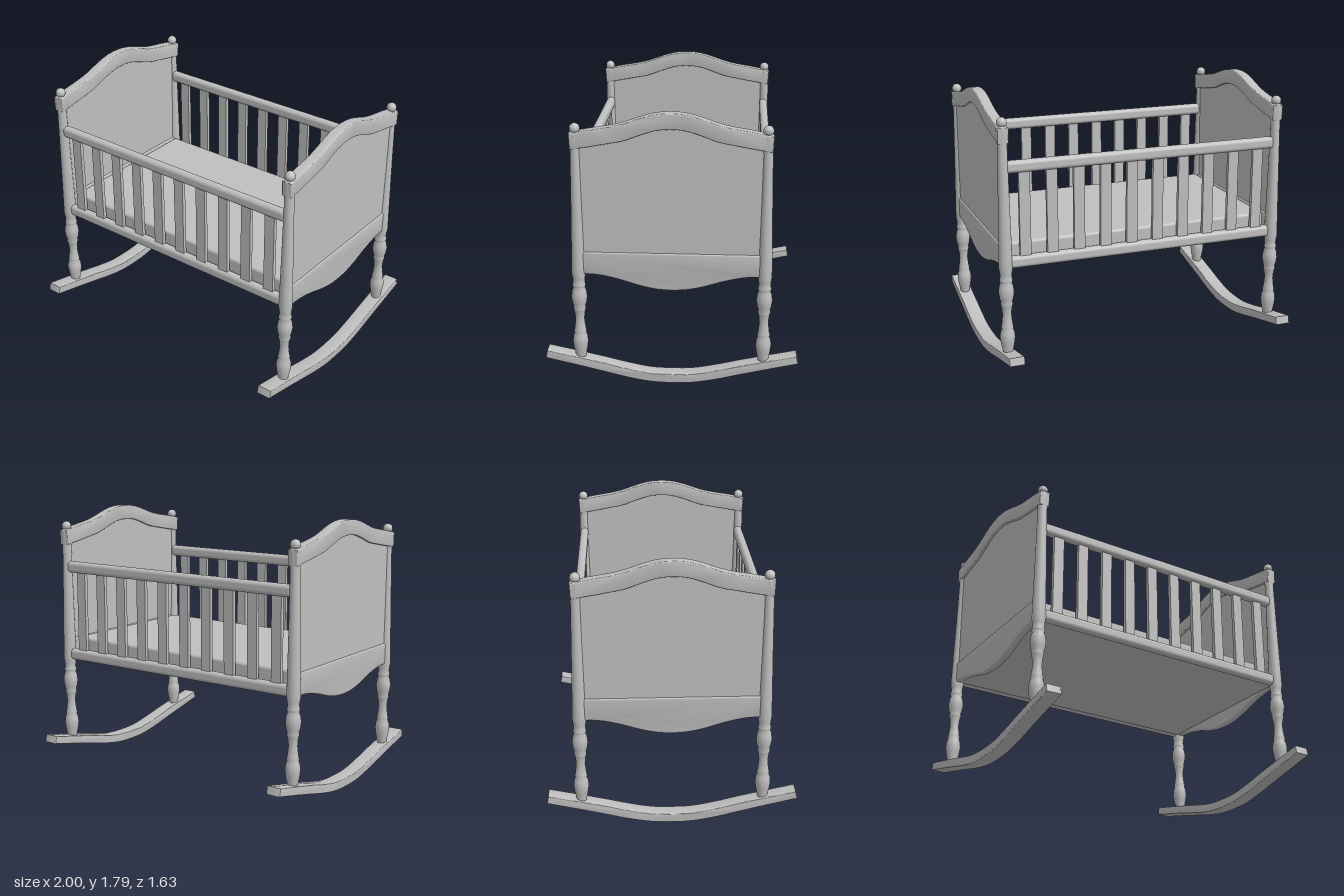
import * as THREE from 'three';
import { toCreasedNormals } from 'three/addons/utils/BufferGeometryUtils.js';
import { RoundedBoxGeometry } from 'three/addons/geometries/RoundedBoxGeometry.js';

const wood = new THREE.MeshStandardMaterial({ color: 0xbfbfbf });
wood.name = 'plain grey';

const V = (p) => new THREE.Vector2(p[0], p[1]);

// Smooth line through half-profile points [z, y] (z from 0 outwards), mirrored to both sides
function mirroredCurve(half) {
  const left = half.slice(1).reverse().map(([z, y]) => [-z, y]);
  return new THREE.SplineCurve([...left, ...half].map(V)).getPoints(40);
}

// Board lying in the z-y plane between two outlines, extruded along x and centred on it
function board(lower, upper, thickness, bevel = 0) {
  const shape = new THREE.Shape([...lower, ...upper.slice().reverse()]);
  const depth = thickness - 2 * bevel;
  const g = new THREE.ExtrudeGeometry(shape, {
    depth, bevelEnabled: bevel > 0, bevelThickness: bevel, bevelSize: bevel, bevelOffset: -bevel, bevelSegments: 3,
  });
  g.translate(0, 0, -depth / 2);
  g.rotateY(-Math.PI / 2);
  return toCreasedNormals(g, 0.6);
}

function add(parent, name, geometry, x = 0, y = 0, z = 0) {
  const mesh = new THREE.Mesh(geometry, wood);
  mesh.name = name;
  mesh.position.set(x, y, z);
  parent.add(mesh);
  return mesh;
}

// Turned post: [radius, height], vase shapes below, slim shaft, collar and neck above
function postGeometry() {
  const p = [
    [0, 0.13], [0.03, 0.13], [0.034, 0.17], [0.044, 0.22], [0.05, 0.265], [0.046, 0.3], [0.037, 0.325],
    [0.041, 0.335], [0.037, 0.35], [0.033, 0.38], [0.029, 0.42], [0.032, 0.46], [0.037, 0.485],
    [0.041, 0.495], [0.037, 0.51], [0.045, 0.535], [0.051, 0.575], [0.046, 0.615], [0.037, 0.64],
    [0.042, 0.65], [0.042, 0.66], [0.037, 0.68], [0.039, 0.7], [0.045, 0.74], [0.043, 0.83],
    [0.036, 1.2], [0.031, 1.54], [0.034, 1.56], [0.038, 1.65], [0.034, 1.66], [0.02, 1.665], [0, 1.67],
  ];
  return new THREE.LatheGeometry(p.map(V), 24);
}

export function createModel() {
  const cradle = new THREE.Group();
  cradle.name = 'cradle';

  const post = postGeometry();
  const finial = new THREE.SphereGeometry(0.033, 20, 14);

  // Curved runner with nearly straight ends
  const runnerLow = mirroredCurve([[0, 0], [0.14, 0.006], [0.3, 0.035], [0.45, 0.072], [0.64, 0.117], [0.815, 0.157]]);
  const runnerTop = mirroredCurve([[0, 0.06], [0.14, 0.066], [0.29, 0.094], [0.44, 0.13], [0.63, 0.172], [0.803, 0.209]]);
  const runner = board(runnerLow, runnerTop, 0.1, 0.004);

  // Arched cap of the end boards
  const capTop = mirroredCurve([[0, 1.79], [0.09, 1.783], [0.18, 1.76], [0.29, 1.722], [0.38, 1.7], [0.5, 1.68], [0.625, 1.655]]);
  const capLow = mirroredCurve([[0, 1.69], [0.09, 1.682], [0.18, 1.655], [0.29, 1.615], [0.38, 1.597], [0.5, 1.575], [0.62, 1.555]]);
  const cap = board(capLow, capTop, 0.07, 0.006);

  // Thin panel beneath the cap and the scalloped apron at its foot
  const panelTop = mirroredCurve([[0, 1.72], [0.18, 1.685], [0.29, 1.645], [0.5, 1.6], [0.57, 1.59]]);
  const panel = board([V([-0.57, 0.84]), V([0.57, 0.84])], panelTop, 0.03);
  const apronLow = mirroredCurve([[0, 0.635], [0.1, 0.642], [0.2, 0.663], [0.32, 0.7], [0.42, 0.724], [0.5, 0.735], [0.57, 0.735]]);
  const apron = board(apronLow, [V([-0.57, 0.885]), V([0.57, 0.885])], 0.05, 0.012);

  for (const side of [1, -1]) {
    const end = new THREE.Group();
    end.name = side > 0 ? 'leftEnd' : 'rightEnd';
    end.position.x = side * 0.95;
    add(end, 'rocker', runner);
    add(end, 'endCap', cap);
    add(end, 'endPanel', panel);
    add(end, 'endApron', apron);
    for (const z of [0.59, -0.59]) {
      add(end, 'post', post, 0, 0, z);
      add(end, 'finial', finial, 0, 1.684, z);
    }
    cradle.add(end);
  }

  // Slatted long sides
  const topRail = new RoundedBoxGeometry(1.88, 0.08, 0.06, 4, 0.027);
  const bottomRail = new RoundedBoxGeometry(1.86, 0.08, 0.06, 4, 0.027);
  const slat = new THREE.BoxGeometry(0.073, 0.58, 0.026);
  for (const side of [1, -1]) {
    const rails = new THREE.Group();
    rails.name = side > 0 ? 'frontSide' : 'backSide';
    rails.position.z = side * 0.587;
    add(rails, 'topRail', topRail, 0, 1.398, 0);
    add(rails, 'bottomRail', bottomRail, 0, 0.772, 0);
    for (let i = 0; i < 10; i++) add(rails, 'slat', slat, -0.822 + i * 0.182, 1.085, 0);
    cradle.add(rails);
  }

  // Base board and mattress
  add(cradle, 'baseBoard', new THREE.BoxGeometry(1.88, 0.03, 1.15), 0, 0.757, 0);
  add(cradle, 'mattress', new RoundedBoxGeometry(1.81, 0.13, 1.1, 4, 0.02), 0, 0.827, 0);

  return cradle;
}
